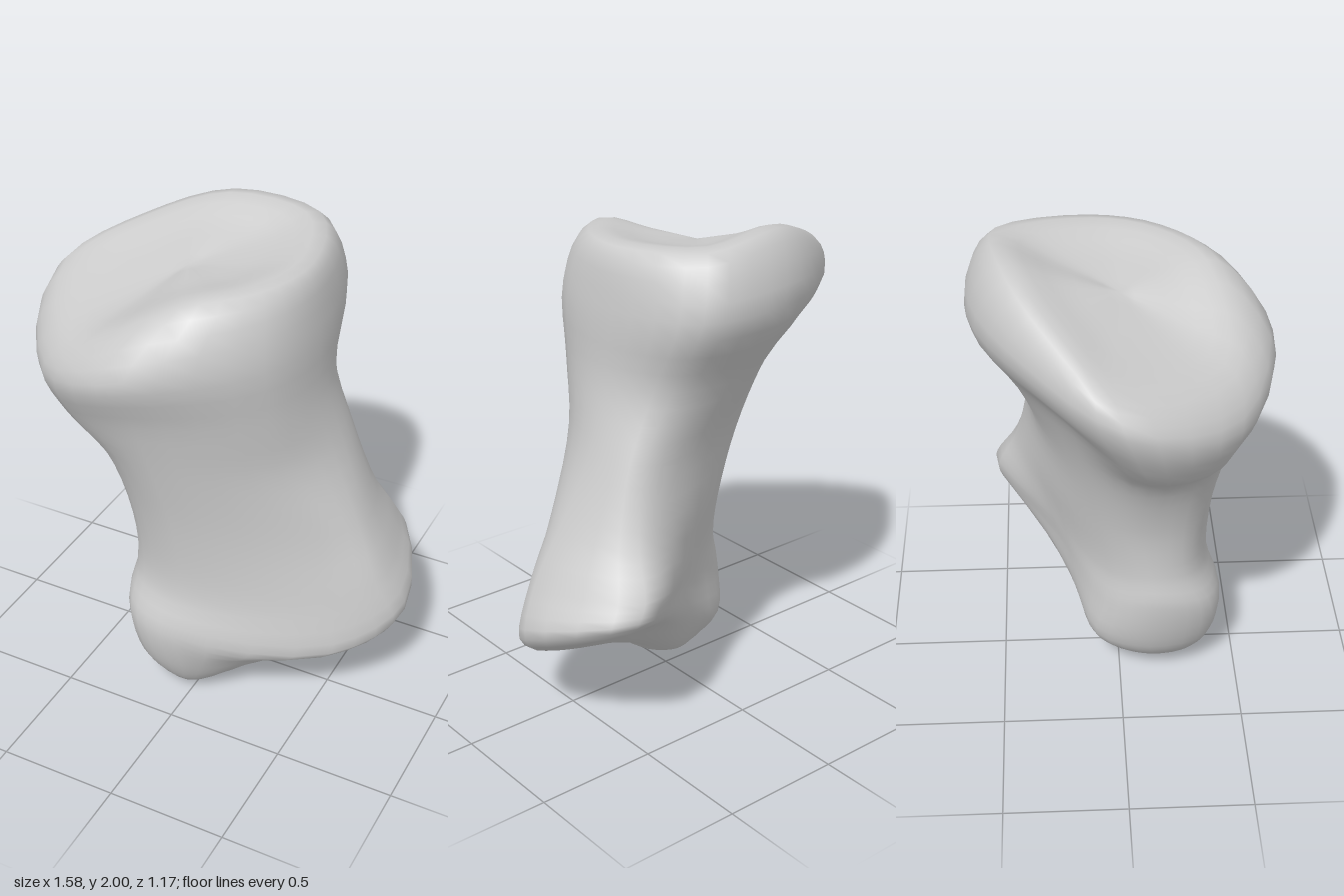
import * as THREE from 'three';
import { mergeVertices } from 'three/addons/utils/BufferGeometryUtils.js';

const AROUND = 32; // samples round each cross-section
const STEPS = 4;   // samples between neighbouring cross-sections

// A cross-section: eight x, y, z points going from +x by way of +z, -x and -z
function section(...p) {
  const pts = [];
  for (let i = 0; i < p.length; i += 3) pts.push(new THREE.Vector3(p[i], p[i + 1], p[i + 2]));
  return new THREE.CatmullRomCurve3(pts, true, 'centripetal');
}

// A level section, given as x, z pairs
function level(y, ...p) {
  const q = [];
  for (let i = 0; i < p.length; i += 2) q.push(p[i], y, p[i + 1]);
  return section(...q);
}

// Smooth skin over the sections, closed by a pole at either end
function loft(top, sections, bottom) {
  const last = (sections.length + 2) * STEPS;
  const n = last + 1;
  const pos = [], index = [];
  for (let i = 0; i < AROUND; i++) {
    const ring = sections.map((s) => s.getPoint(i / AROUND));
    const inner = ring[0].clone().lerp(top, 0.5);
    const column = new THREE.CatmullRomCurve3([top, inner, ...ring, bottom], false, 'centripetal');
    for (let j = 0; j <= last; j++) pos.push(...column.getPoint(j / last).toArray());
  }
  for (let i = 0; i < AROUND; i++) {
    for (let j = 0; j < last; j++) {
      const a = i * n + j, b = ((i + 1) % AROUND) * n + j;
      if (j > 0) index.push(a, b, a + 1);
      if (j < last - 1) index.push(b, b + 1, a + 1);
    }
  }
  let geo = new THREE.BufferGeometry();
  geo.setAttribute('position', new THREE.Float32BufferAttribute(pos, 3));
  geo.setIndex(index);
  geo = mergeVertices(geo, 1e-4);
  geo.computeVertexNormals();
  return geo;
}

export function createModel() {
  // Broad, slanting head with a shallow dished top
  const head = [
    section(0.32, 1.94, -0.1, 0.24, 1.93, 0.18, 0.0, 1.9, 0.38, -0.45, 1.67, 0.41,
      -0.73, 1.75, -0.04, -0.5, 1.89, -0.28, -0.18, 1.995, -0.44, 0.18, 1.965, -0.46),
    section(0.38, 1.72, -0.15, 0.3, 1.72, 0.27, -0.12, 1.66, 0.585, -0.57, 1.51, 0.43,
      -0.79, 1.63, 0.0, -0.5, 1.72, -0.36, -0.1, 1.74, -0.575, 0.26, 1.73, -0.53),
    section(0.4, 1.42, -0.1, 0.31, 1.42, 0.25, -0.12, 1.42, 0.51, -0.5, 1.31, 0.38,
      -0.66, 1.36, 0.08, -0.4, 1.43, -0.2, -0.05, 1.43, -0.42, 0.28, 1.43, -0.38),
  ];
  // Narrow shaft leaning towards +x
  const shaft = [
    level(1.15, 0.475, -0.12, 0.34, 0.2, -0.08, 0.44, -0.36, 0.34, -0.435, 0.1, -0.28, -0.15, 0.05, -0.33, 0.39, -0.35),
    level(0.85, 0.605, -0.08, 0.48, 0.12, -0.03, 0.385, -0.27, 0.3, -0.315, 0.08, -0.22, -0.1, 0.1, -0.32, 0.47, -0.42),
  ];
  // Foot: a wing flaring to the left and back, and a lower rounded knuckle
  const foot = [
    section(0.715, 0.63, -0.06, 0.52, 0.56, 0.16, -0.02, 0.56, 0.375, -0.25, 0.58, 0.3,
      -0.305, 0.6, 0.12, -0.22, 0.58, -0.05, 0.1, 0.64, -0.28, 0.52, 0.68, -0.515),
    section(0.79, 0.44, -0.1, 0.58, 0.32, 0.17, -0.02, 0.37, 0.43, -0.25, 0.4, 0.38,
      -0.33, 0.45, 0.15, -0.24, 0.42, -0.06, 0.1, 0.5, -0.25, 0.56, 0.59, -0.515),
    section(0.58, 0.27, 0.0, 0.34, 0.245, 0.22, 0.0, 0.2, 0.4, -0.2, 0.19, 0.37,
      -0.285, 0.2, 0.13, -0.21, 0.22, -0.1, 0.0, 0.27, -0.17, 0.38, 0.4, -0.25),
    section(0.17, 0.13, 0.12, 0.11, 0.08, 0.25, -0.02, 0.06, 0.335, -0.15, 0.07, 0.3,
      -0.21, 0.09, 0.14, -0.16, 0.09, 0.0, -0.04, 0.08, -0.05, 0.09, 0.12, -0.03),
    section(0.05, 0.035, 0.14, 0.03, 0.018, 0.22, -0.02, 0.01, 0.26, -0.08, 0.015, 0.24,
      -0.1, 0.02, 0.14, -0.08, 0.025, 0.07, -0.03, 0.03, 0.05, 0.02, 0.035, 0.07),
  ];
  const bone = new THREE.Mesh(
    loft(new THREE.Vector3(-0.16, 1.865, 0), [...head, ...shaft, ...foot], new THREE.Vector3(-0.03, 0, 0.19)),
    new THREE.MeshStandardMaterial({ color: 0xcccccc }),
  );
  bone.name = 'bone';
  const group = new THREE.Group();
  group.name = 'shortBone';
  group.add(bone);
  return group;
}
